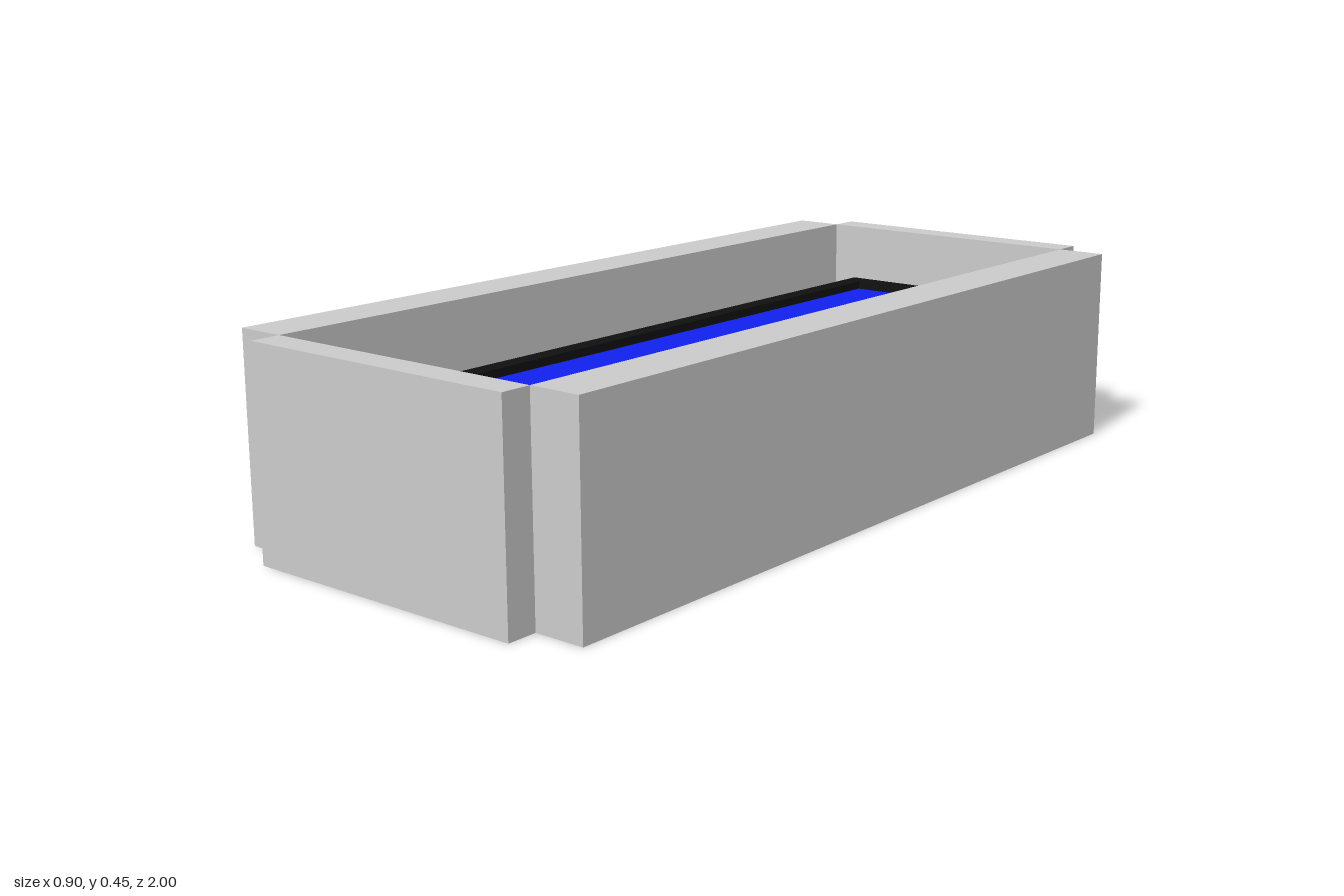
import * as THREE from 'three';

const paint = (color) => new THREE.MeshStandardMaterial({ color });
const grey = paint(0xcccccc);
const green = paint(0x226e22);
const yellow = paint(0xe6d016);
const black = paint(0x101010);
const blue = paint(0x1020ee);

const HOLE_X = 0.28, HOLE_Z = 0.875, PIN_R = 0.045;
const corners = [[1, 1], [1, -1], [-1, 1], [-1, -1]].map(([x, z]) => [x * HOLE_X, z * HOLE_Z]);

export function createModel() {
  const model = new THREE.Group();

  const add = (name, geometry, material, x = 0, y = 0, z = 0) => {
    const mesh = new THREE.Mesh(geometry, material);
    mesh.name = name;
    mesh.position.set(x, y, z);
    model.add(mesh);
  };

  // Rectangle outline, usable as a shape or as a hole
  const rect = (Type, hw, hd) => new Type([[-hw, -hd], [hw, -hd], [hw, hd], [-hw, hd]]
    .map(([x, y]) => new THREE.Vector2(x, y)));
  const circle = (Type, r, x = 0, y = 0) => new Type().absarc(x, y, r, 0, Math.PI * 2);

  // Horizontal plate with holes, rising from y = 0
  const plate = (shape, holes, depth) => {
    shape.holes.push(...holes);
    return new THREE.ExtrudeGeometry(shape, { depth, bevelEnabled: false, curveSegments: 24 })
      .rotateX(-Math.PI / 2);
  };

  // Four walls of the open frame, meeting only at their inner corners
  for (const s of [1, -1]) {
    add(s > 0 ? 'leftWall' : 'rightWall', new THREE.BoxGeometry(0.114, 0.45, 1.864), grey, s * 0.393, 0.225, 0);
    add(s > 0 ? 'frontWall' : 'backWall', new THREE.BoxGeometry(0.672, 0.45, 0.068), grey, 0, 0.225, s * 0.966);
  }

  // Circuit board with mounting holes
  const holes = corners.map(([x, z]) => circle(THREE.Path, PIN_R, x, z));
  add('circuitBoard', plate(rect(THREE.Shape, 0.336, 0.932), holes, 0.026), green, 0, 0.212, 0);

  // Plated rings and mounting pins in the corners
  for (const [x, z] of corners) {
    const ring = plate(circle(THREE.Shape, 0.059), [circle(THREE.Path, PIN_R)], 0.03);
    add('mountingRing', ring, yellow, x, 0.21, z);
    add('mountingPin', new THREE.CylinderGeometry(PIN_R, PIN_R, 0.076, 48), grey, x, 0.224, z);
  }

  // Display bezel with a slightly recessed screen
  add('displayBezel', plate(rect(THREE.Shape, 0.204, 0.828), [rect(THREE.Path, 0.161, 0.786)], 0.097), black, 0, 0.238, 0);
  add('screen', new THREE.BoxGeometry(0.322, 0.078, 1.572), blue, 0, 0.277, 0);

  return model;
}
